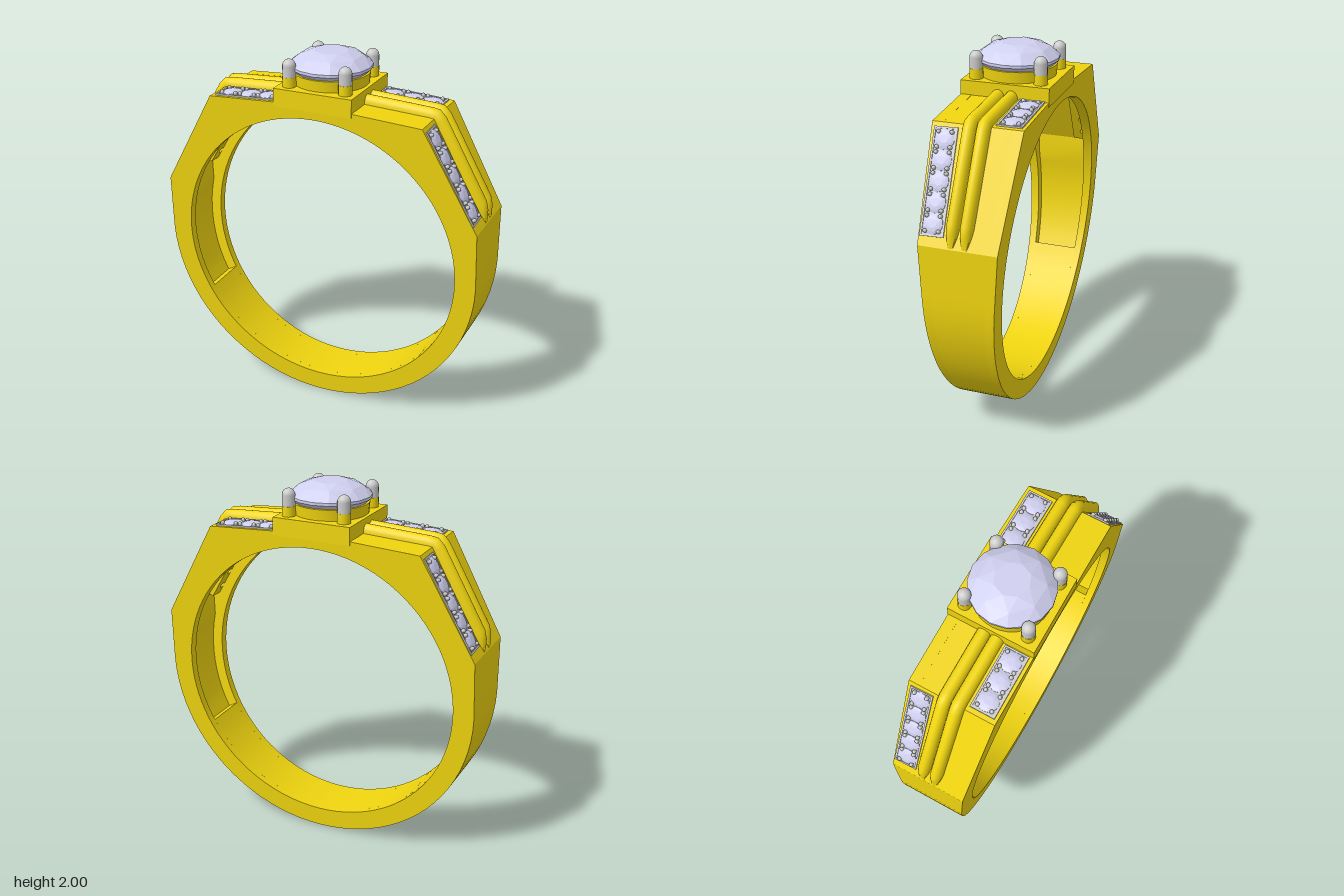
import * as THREE from 'three';
import { toCreasedNormals } from 'three/addons/utils/BufferGeometryUtils.js';
import { ConvexGeometry } from 'three/addons/geometries/ConvexGeometry.js';

const gold = new THREE.MeshStandardMaterial({ color: 0xf0d50f, side: THREE.DoubleSide });
const grey = new THREE.MeshStandardMaterial({ color: 0xcccccc });
const stone = new THREE.MeshStandardMaterial({ color: 0xd0d0f0, flatShading: true });

function add(parent, name, geometry, material, x = 0, y = 0, z = 0) {
  const mesh = new THREE.Mesh(geometry, material);
  mesh.name = name;
  mesh.position.set(x, y, z);
  parent.add(mesh);
  return mesh;
}

const arc = (cy, r, a0, a1, n) => Array.from({ length: n + 1 }, (_, i) => {
  const a = a0 + (a1 - a0) * i / n;
  return [r * Math.cos(a), cy + r * Math.sin(a)];
});

// Closes a right-hand half outline that starts on the centre line with its mirror image
function mirrored(half) {
  const left = half.filter(([x]) => x > 1e-6).map(([x, y]) => [-x, y]).reverse();
  return new THREE.Shape([...half, ...left].map(([x, y]) => new THREE.Vector2(x, y)));
}

// Slice of the band between two fractions of its half width, which grows with height
function bandLayer(shape, f0, f1) {
  const g = new THREE.ExtrudeGeometry(shape, { depth: f1 - f0, bevelEnabled: false, curveSegments: 48 });
  g.translate(0, 0, f0);
  const p = g.attributes.position;
  for (let i = 0; i < p.count; i++) p.setZ(i, p.getZ(i) * (0.14 + 0.056 * p.getY(i)));
  g.computeVertexNormals();
  return toCreasedNormals(g, 0.4);
}

function rect(w, h) {
  return new THREE.Shape([[-w, -h], [w, -h], [w, h], [-w, h]].map(([x, y]) => new THREE.Vector2(x / 2, y / 2)));
}

function circleHole(shape, x, r) {
  shape.holes.push(new THREE.Path().absarc(x, 0, r, 0, Math.PI * 2, true));
}

// Extrusion of a plan shape upward from y0 to y1
function slab(shape, y0, y1) {
  const g = new THREE.ExtrudeGeometry(shape, { depth: y1 - y0, bevelEnabled: false, curveSegments: 20 });
  return g.rotateX(-Math.PI / 2).translate(0, y0, 0);
}

// Half-round ridge lofted along the shoulder; stations are x, y, normal x, normal y, height, half width
function ridgeGeometry(zc) {
  const stations = [
    [0.2, 1.757, 0.05, 1, 0.045, 0.036], [0.575, 1.738, 0.05, 1, 0.043, 0.036],
    [0.598, 1.733, 0.42, 0.9, 0.046, 0.036], [0.612, 1.714, 0.872, 0.489, 0.047, 0.036],
    [0.845, 1.298, 0.872, 0.489, 0.05, 0.034], [0.868, 1.257, 0.872, 0.489, 0.036, 0.028],
    [0.897, 1.205, 0.872, 0.489, 0, 0.014],
  ];
  const n = 10, pos = [], index = [];
  stations.forEach(([x, y, nx, ny, h, r], i) => {
    for (let j = 0; j <= n; j++) {
      const a = Math.PI * j / n, s = h * Math.sin(a);
      pos.push(x + nx * s, y + ny * s, zc + r * Math.cos(a));
      if (i && j) {
        const d = i * (n + 1) + j, c = d - 1, b = d - n - 1, e = b - 1;
        index.push(e, c, b, c, d, b);
      }
    }
  });
  const g = new THREE.BufferGeometry();
  g.setAttribute('position', new THREE.Float32BufferAttribute(pos, 3));
  g.setIndex(index);
  return toCreasedNormals(g, 0.9);
}

// Faceted brilliant: table, crown, girdle, pavilion and point
function brilliant(r, table, girdle, depth) {
  const pts = [new THREE.Vector3(0, -depth, 0)];
  const ring = (n, radius, y, turn) => {
    for (let i = 0; i < n; i++) {
      const a = (i + turn) / n * Math.PI * 2;
      pts.push(new THREE.Vector3(radius * Math.cos(a), y, radius * Math.sin(a)));
    }
  };
  ring(8, r * 0.42, table, 0);
  ring(8, r * 0.76, table * 0.72, 0.5);
  ring(16, r, girdle, 0);
  ring(16, r, 0, 0);
  ring(8, r * 0.5, -depth * 0.54, 0.5);
  return new ConvexGeometry(pts);
}

// Row of small set stones with its rim, beads and drilled backing plate
function paveRow(length, width, count) {
  const row = new THREE.Group();
  row.name = 'paveRow';
  const rim = rect(length, width);
  rim.holes.push(new THREE.Path(rect(length - 0.02, width - 0.02).getPoints().reverse()));
  add(row, 'paveRim', slab(rim, -0.01, 0.007), grey);
  add(row, 'paveTray', new THREE.BoxGeometry(length - 0.02, 0.012, width - 0.02), grey, 0, -0.004, 0);
  const step = (length - 0.02) / count, backing = rect(length, width);
  for (let i = 0; i < count; i++) {
    const x = (i + 0.5 - count / 2) * step;
    const r = Math.min(step, width - 0.02) * 0.5;
    add(row, 'smallStone', brilliant(r, 0.014, 0.004, 0.03), stone, x, 0.002, 0);
    circleHole(backing, x, 0.018);
  }
  for (let i = 0; i <= count; i++) {
    const inset = i === 0 ? 0.016 : i === count ? -0.016 : 0;
    const x = (i - count / 2) * step + inset;
    for (const side of [-1, 1]) {
      for (const dx of inset ? [0] : [-0.013, 0.013]) {
        add(row, 'bead', new THREE.CapsuleGeometry(0.011, 0.01, 3, 8), grey, x + dx, 0.006, side * (width / 2 - 0.028));
      }
    }
  }
  add(row, 'backingPlate', slab(backing, -0.085, -0.045), gold);
  return row;
}

function createShoulder() {
  const shoulder = new THREE.Group();
  shoulder.name = 'shoulder';
  for (const z of [-0.036, 0.036]) add(shoulder, 'ridge', ridgeGeometry(z), gold);
  const flat = paveRow(0.35, 0.135, 3);
  flat.position.set(0.4, 1.748, -0.153);
  flat.rotation.z = -0.055;
  const slope = paveRow(0.54, 0.125, 5);
  slope.position.set(0.743, 1.48, 0.149);
  slope.rotation.set(0, 0.03, -1.06, 'ZYX');
  shoulder.add(flat, slope);
  return shoulder;
}

export function createModel() {
  const ring = new THREE.Group();
  ring.name = 'ring';

  // Band: two outer cheeks and a core hollowed out on the inside of the upper part
  const outer = [...arc(0.905, 0.905, -Math.PI / 2, 0.05, 22), [0.9, 1.2], [0.6, 1.735]];
  outer[0][0] = 0;
  const cheek = mirrored([...outer, [0.22, 1.757]]);
  cheek.holes.push(new THREE.Path().absarc(0, 0.9, 0.79, 0, Math.PI * 2, true));
  const inner = [[0.2, 1.71], [0.57, 1.685], [0.84, 1.19],
    ...arc(0.9, 0.85, 0.2, -0.5, 10), ...arc(0.9, 0.79, -0.5, -Math.PI / 2, 16)];
  inner[inner.length - 1][0] = 0;
  const core = mirrored([...outer, [0.2, 1.757], ...inner]);
  add(ring, 'frontCheek', bandLayer(cheek, 0.75, 1), gold);
  add(ring, 'backCheek', bandLayer(cheek, -1, -0.75), gold);
  add(ring, 'bandCore', bandLayer(core, -0.75, 0.75), gold);

  // Shoulders repeat by half a turn
  const left = createShoulder();
  const right = createShoulder();
  right.rotation.y = Math.PI;
  ring.add(left, right);

  // Head: pierced plate and collar under the main stone
  const plate = rect(0.44, 0.48);
  circleHole(plate, 0, 0.165);
  add(ring, 'headPlate', slab(plate, 1.735, 1.832), gold);
  const collar = [[0.165, 1.82], [0.2, 1.82], [0.207, 1.892], [0.185, 1.892], [0.165, 1.82]];
  const collarGeometry = new THREE.LatheGeometry(collar.map(([x, y]) => new THREE.Vector2(x, y)), 32);
  add(ring, 'collar', toCreasedNormals(collarGeometry, 0.5), gold);

  // Main stone and its four claws
  add(ring, 'mainStone', brilliant(0.22, 0.085, 0.015, 0.2), stone, 0, 1.915, 0);
  for (const x of [-0.158, 0.158]) {
    for (const z of [-0.175, 0.175]) {
      add(ring, 'clawBase', new THREE.CylinderGeometry(0.036, 0.036, 0.06, 16), gold, x, 1.855, z);
      add(ring, 'claw', new THREE.CapsuleGeometry(0.035, 0.07, 6, 16), grey, x, 1.908, z);
    }
  }
  return ring;
}
